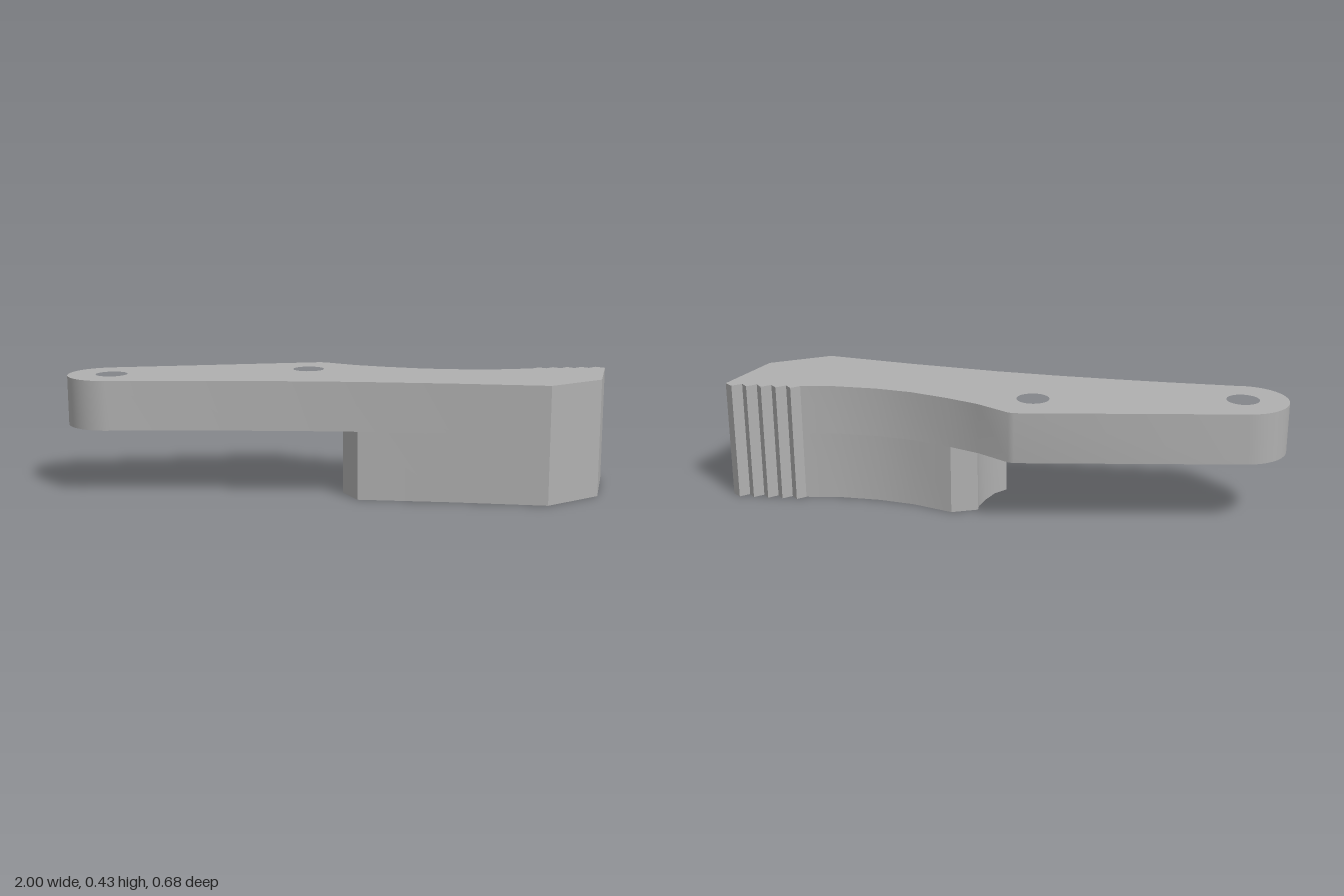
import * as THREE from 'three';
import { toCreasedNormals } from 'three/addons/utils/BufferGeometryUtils.js';

const metal = new THREE.MeshStandardMaterial({ color: 0xb0b0b0 });
metal.name = 'grey';

const PLATE_BOTTOM = 0.25, TOP = 0.43;
const EYE = { x: -0.84, z: -0.18 }, PIVOT = { x: -0.11, z: -0.18 };
const HOLE_RADIUS = 0.058;

// Points [x, z] around a circle, between two angles
function arc(cx, cz, r, from, to, steps) {
  return Array.from({ length: steps + 1 }, (_, i) => {
    const a = from + (to - from) * i / steps;
    return [cx + r * Math.cos(a), cz + r * Math.sin(a)];
  });
}

// Plan outline [x, z] raised from y0 to y1
function slab(name, outline, holes, y0, y1) {
  const toShape = ([x, z]) => new THREE.Vector2(x, -z);
  const shape = new THREE.Shape(outline.map(toShape));
  for (const h of holes) {
    shape.holes.push(new THREE.Path(arc(h.x, h.z, HOLE_RADIUS, 0, Math.PI * 2, 24).slice(0, -1).map(toShape)));
  }
  let geo = new THREE.ExtrudeGeometry(shape, { depth: y1 - y0, bevelEnabled: false });
  geo.rotateX(-Math.PI / 2);
  geo.translate(0, y0, 0);
  geo = toCreasedNormals(geo, 0.45);
  const mesh = new THREE.Mesh(geo, metal);
  mesh.name = name;
  return mesh;
}

export function createModel() {
  const group = new THREE.Group();
  group.name = 'toothedLever';

  // Scooped back edge, the row of teeth and the blunt nose, shared by both levels
  const nose = [
    [0.18, -0.185], [0.32, -0.115], [0.45, -0.075], [0.6, -0.05], [0.725, -0.05],
  ];
  for (let i = 0; i < 5; i++) {
    const x = 0.757 + i * 0.054, z = -0.073 + i * 0.0055;
    nose.push([x, z]);
    if (i < 4) nose.push([x + 0.02, z + 0.029]);
  }
  nose.push([1, -0.02], [0.89, 0.24], [0.67, 0.34], [0.35, 0.238], [0.02, 0.145]);

  // Upper arm with the rounded end and two bolt holes
  const arm = [
    ...arc(EYE.x, EYE.z, 0.16, Math.PI * 0.5, Math.PI * 1.5, 20),
    [-0.045, -0.34], [-0.025, -0.333], [0.08, -0.245],
    ...nose,
    [-0.2, 0.094], [-0.4, 0.054], [-0.6, 0.018],
  ];
  group.add(slab('upperArm', arm, [EYE, PIVOT], PLATE_BOTTOM, TOP));

  // Lower jaw, cut back in a hollow curve around the pivot hole
  const jaw = [
    ...nose,
    [-0.015, 0.035], [0.028, -0.005], [0.062, -0.07], [0.082, -0.125], [0.085, -0.16],
  ];
  group.add(slab('lowerJaw', jaw, [], 0, PLATE_BOTTOM));

  return group;
}
